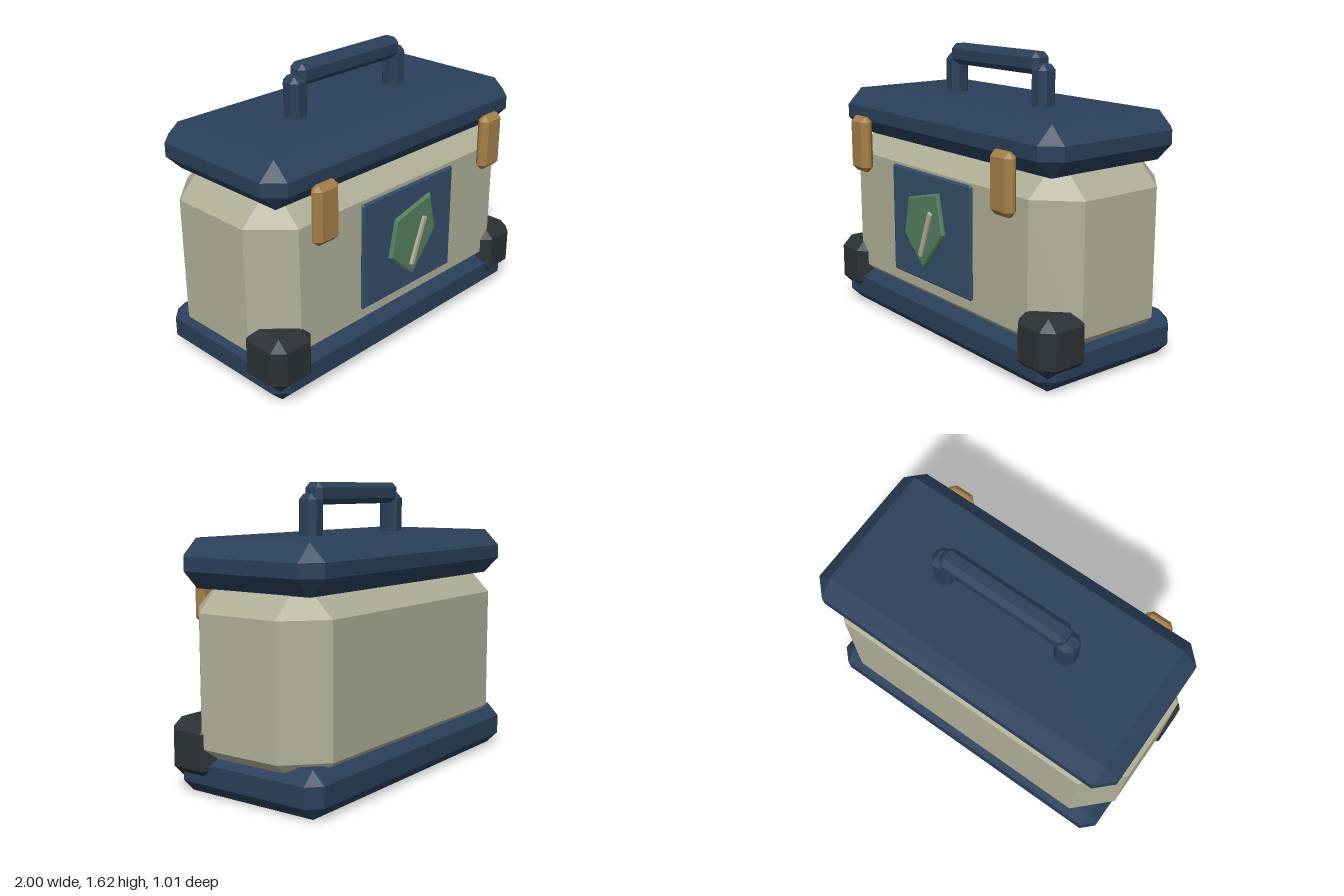
import * as THREE from 'three';
import { ConvexGeometry } from 'three/addons/geometries/ConvexGeometry.js';

const material = (color) => new THREE.MeshStandardMaterial({ color, flatShading: true });

// Box given by its min/max extents, every edge chamfered by c
function chamferBox([x0, x1], [y0, y1], [z0, z1], c) {
  const half = [(x1 - x0) / 2, (y1 - y0) / 2, (z1 - z0) / 2];
  const points = [];
  for (const sx of [-1, 1]) for (const sy of [-1, 1]) for (const sz of [-1, 1]) {
    const signs = [sx, sy, sz];
    // each corner becomes three points, one on each neighbouring face
    for (let face = 0; face < 3; face++) {
      points.push(new THREE.Vector3(...signs.map((s, i) => s * (half[i] - (i === face ? 0 : c)))));
    }
  }
  return new ConvexGeometry(points).translate((x0 + x1) / 2, (y0 + y1) / 2, (z0 + z1) / 2);
}

export function createModel() {
  const model = new THREE.Group();
  model.name = 'toolCase';

  const navy = material(0x2a405a);
  const panelBlue = material(0x344d69);
  const cream = material(0xb0b098);
  const green = material(0x557f5e);
  const brass = material(0xa47e45);
  const rubber = material(0x2b3134);

  const add = (name, geometry, mat) => {
    const mesh = new THREE.Mesh(geometry, mat);
    mesh.name = name;
    model.add(mesh);
    return mesh;
  };

  // Main shell
  add('base', chamferBox([-0.968, 0.968], [0, 0.25], [-0.505, 0.44], 0.07), navy);
  add('body', chamferBox([-0.985, 0.985], [0.07, 1.165], [-0.477, 0.412], 0.195), cream);
  add('lid', chamferBox([-0.965, 0.965], [1.08, 1.342], [-0.497, 0.432], 0.093), navy);

  // Paired parts: corner guards, latches and handle posts
  for (const [side, s] of [['left', 1], ['right', -1]]) {
    const span = (a, b) => (s > 0 ? [a, b] : [-b, -a]);
    add(side + 'CornerGuard', chamferBox(span(0.72, 1), [0.09, 0.405], [0.16, 0.465], 0.06), rubber);
    add(side + 'Latch', chamferBox(span(0.58, 0.748), [0.875, 1.202], [0.43, 0.505], 0.03), brass);
    add(side + 'HandlePost', chamferBox(span(0.327, 0.445), [1.28, 1.565], [-0.09, 0.028], 0.032), navy);
  }
  add('handleGrip', chamferBox([-0.387, 0.387], [1.506, 1.625], [-0.09, 0.028], 0.03), navy);

  // Front panel with its badge
  add('frontPanel', chamferBox([-0.368, 0.368], [0.338, 0.965], [0.424, 0.448], 0.01), panelBlue);

  const outline = [[-0.14, 0.81], [-0.182, 0.605], [-0.015, 0.45], [0.167, 0.665], [0.12, 0.875]];
  const badgeShape = new THREE.Shape(outline.map(([x, y]) => new THREE.Vector2(x, y)));
  const badge = new THREE.ExtrudeGeometry(badgeShape, {
    depth: 0.012, bevelEnabled: true, bevelThickness: 0.009, bevelSize: 0.009, bevelSegments: 1,
  });
  add('badge', badge.translate(0, 0, 0.47), green);

  // Slanted strip across the badge
  const strip = add('badgeStrip', chamferBox([-0.016, 0.016], [-0.142, 0.142], [-0.015, 0.015], 0.005), cream);
  strip.position.set(0.022, 0.637, 0.49);
  strip.rotation.z = -0.37;

  return model;
}
